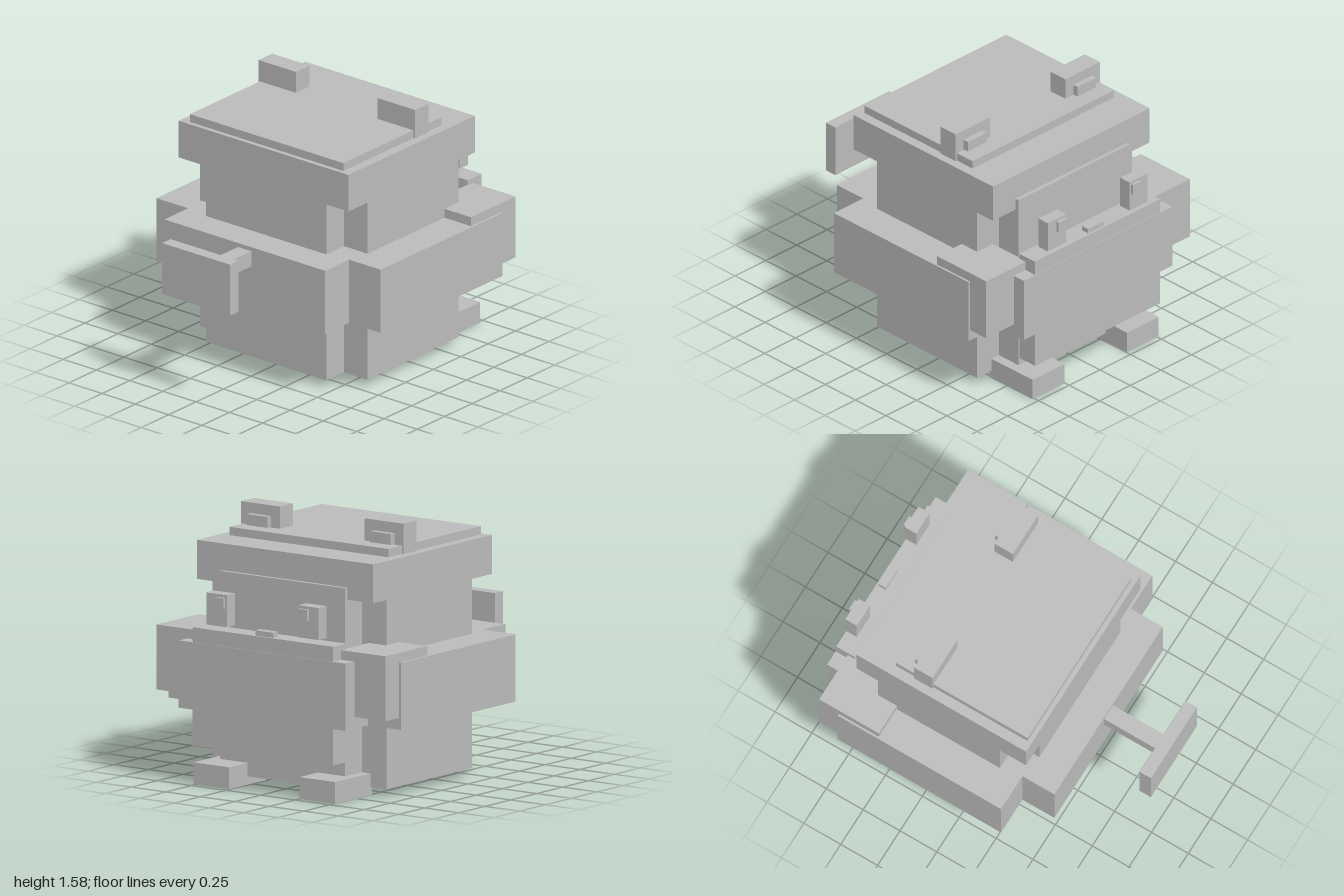
import * as THREE from 'three';

export function createModel() {
  const model = new THREE.Group();
  const grey = new THREE.MeshStandardMaterial({ color: 0xbbbbbb });
  grey.name = 'light grey';

  // Box from its min and max on each axis
  function block(name, [x0, x1], [y0, y1], [z0, z1]) {
    const mesh = new THREE.Mesh(new THREE.BoxGeometry(x1 - x0, y1 - y0, z1 - z0), grey);
    mesh.position.set((x0 + x1) / 2, (y0 + y1) / 2, (z0 + z1) / 2);
    mesh.name = name;
    model.add(mesh);
  }
  // Block centred across x
  const centred = (name, halfWidth, y, z) => block(name, [-halfWidth, halfWidth], y, z);
  // Matching blocks on both sides
  function pair(name, [x0, x1], y, z) {
    block(name + 'Left', [x0, x1], y, z);
    block(name + 'Right', [-x1, -x0], y, z);
  }

  // Body with notched corners
  centred('bodyLong', 0.453, [0.05, 1.24], [-0.787, 0.363]);
  centred('bodyWide', 0.63, [0.05, 1.168], [-0.625, 0.203]);

  // Thick belt around the middle
  centred('beltLong', 0.605, [0.445, 0.842], [-0.985, 0.557]);
  centred('beltWide', 0.843, [0.445, 0.842], [-0.768, 0.34]);

  // Head slab and roof plate
  centred('headSlab', 0.638, [1.168, 1.398], [-0.764, 0.386]);
  centred('roofPlate', 0.577, [1.398, 1.447], [-0.533, 0.358]);

  // Raised upper eyes with pupils
  pair('upperEye', [0.307, 0.588], [1.398, 1.578], [-0.405, -0.28]);
  pair('upperPupil', [0.372, 0.522], [1.45, 1.515], [-0.44, -0.4]);

  // Jaw panel with small eyes and nose on top
  centred('jawPanel', 0.51, [0.23, 0.93], [-0.981, -0.853]);
  pair('smallEye', [0.258, 0.407], [0.958, 1.147], [-0.982, -0.905]);
  pair('smallPupil', [0.271, 0.336], [1.065, 1.13], [-1, -0.975]);
  centred('nose', 0.063, [0.925, 0.96], [-0.967, -0.917]);

  // Shoulders and feet
  pair('shoulder', [0.502, 0.83], [0.515, 0.898], [-0.902, -0.497]);
  pair('foot', [0.255, 0.513], [0, 0.13], [-0.965, -0.61]);

  // Tail rod with end plate
  centred('tailRod', 0.05, [0.722, 0.817], [0.55, 0.93]);
  centred('tailPlate', 0.256, [0.61, 0.93], [0.923, 1]);

  return model;
}
